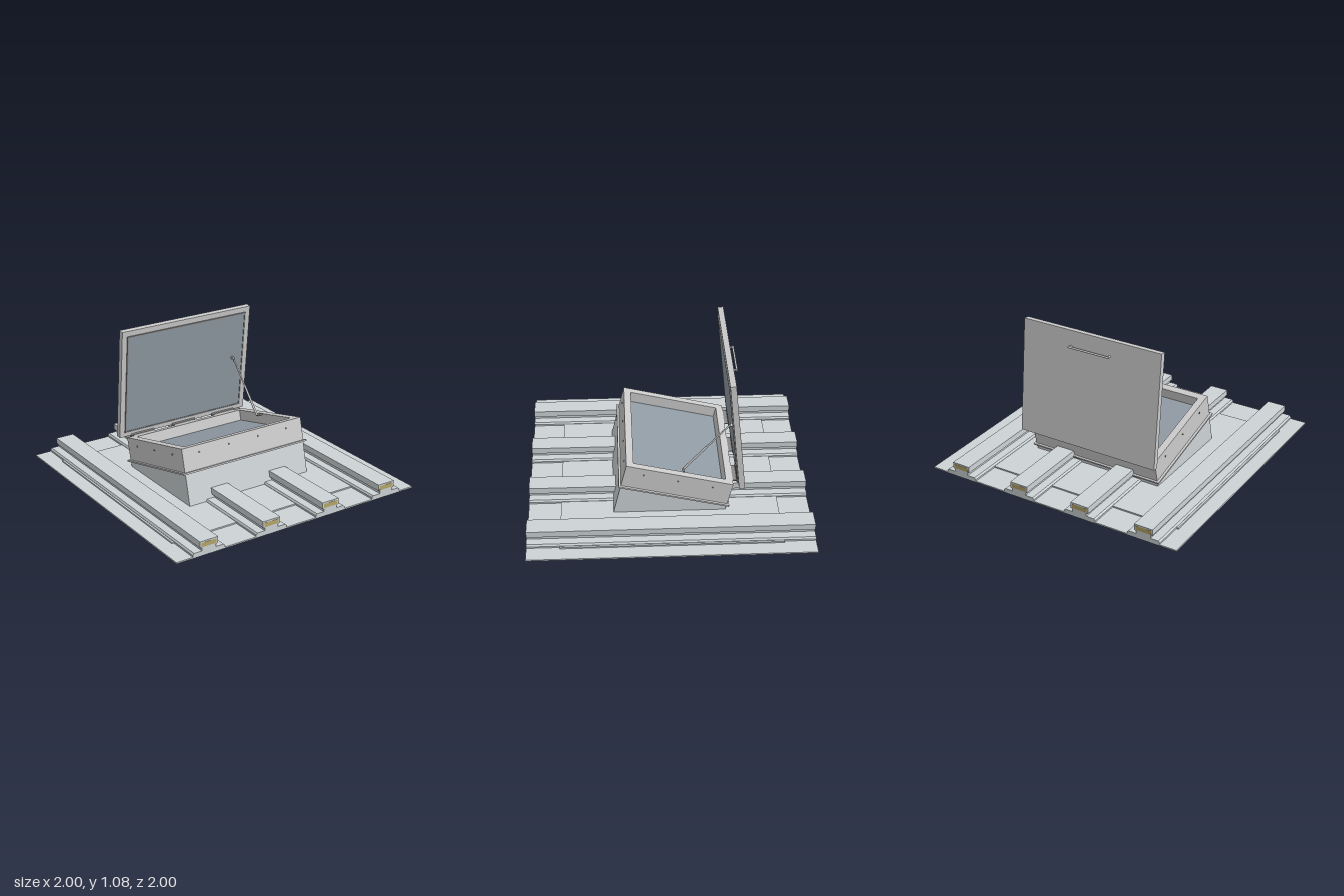
import * as THREE from 'three';

const mat = (color) => new THREE.MeshStandardMaterial({ color, flatShading: true });
const roofMat = mat(0xcdd3d6), metal = mat(0xbcbcbc), glassMat = mat(0x919ba5);
const dark = mat(0x8a8a8a), foam = mat(0xb5a668);

function add(parent, name, geo, material) {
  const m = new THREE.Mesh(geo, material);
  m.name = name;
  parent.add(m);
  return m;
}

// Box given by its limits on each axis
function box(parent, name, x0, x1, y0, y1, z0, z1, material) {
  const m = add(parent, name, new THREE.BoxGeometry(x1 - x0, y1 - y0, z1 - z0), material);
  m.position.set((x0 + x1) / 2, (y0 + y1) / 2, (z0 + z1) / 2);
  return m;
}

// Round bar between two points
function bar(parent, name, a, b, r, material) {
  const p = new THREE.Vector3(...a), q = new THREE.Vector3(...b);
  const d = q.clone().sub(p);
  const m = add(parent, name, new THREE.CylinderGeometry(r, r, d.length(), 12), material);
  m.position.copy(p).add(q).multiplyScalar(0.5);
  m.quaternion.setFromUnitVectors(new THREE.Vector3(0, 1, 0), d.normalize());
  return m;
}

// Closed polygon extruded by a length along z, from z0
function extrude(points, z0, z1) {
  const shape = new THREE.Shape(points.map((p) => new THREE.Vector2(...p)));
  const geo = new THREE.ExtrudeGeometry(shape, { depth: z1 - z0, bevelEnabled: false });
  return geo.translate(0, 0, z0);
}

function buildRoof() {
  const roof = new THREE.Group();
  roof.name = 'roof';
  box(roof, 'roofSheet', -1, 1, 0, 0.01, -1, 1, roofMat);
  box(roof, 'raisedPans', -0.89, 0.89, 0.01, 0.02, -0.78, 0.77, roofMat);

  // Stepped foot, narrow neck and wide head
  const half = [[0.125, 0.01], [0.125, 0.022], [0.115, 0.035], [0.055, 0.035], [0.055, 0.055], [0.07, 0.06], [0.07, 0.105]];
  const profile = [...half, ...half.map(([x, y]) => [-x, y]).reverse()];
  for (const x of [-0.75, -0.25, 0.25, 0.75]) {
    // The middle ribs are cut by the hatch
    const runs = Math.abs(x) < 0.5 ? [[-1, -0.35], [0.3, 1]] : [[-1, 1]];
    for (const [z0, z1] of runs) {
      add(roof, 'roofRib', extrude(profile, z0, z1), roofMat).position.x = x;
    }
    // Foam closures at both open ends
    for (const s of [-1, 1]) {
      box(roof, 'ribClosure', x - 0.058, x + 0.058, 0.062, 0.094, s - 0.001, s + 0.001, foam);
    }
  }
  return roof;
}

// Sloping curb; its origin is the upper front edge, -z runs down the slope
function buildCurb() {
  const curb = new THREE.Group();
  curb.name = 'curb';
  curb.position.set(0, 0.42, 0.3);
  curb.rotation.x = -0.242;
  const L = 0.775, W = 0.512, T = 0.052, H = 0.17;
  for (const s of [-1, 1]) {
    const inner = s * (W - T), outer = s * W;
    box(curb, 'curbSide', Math.min(inner, outer), Math.max(inner, outer), -H, 0, -L, 0, metal);
  }
  box(curb, 'curbFront', T - W, W - T, -H, 0, -T, 0, metal);
  box(curb, 'curbBack', T - W, W - T, -H, 0, -L, T - L, metal);
  box(curb, 'curbFlange', -0.53, 0.53, -0.182, -H, -L - 0.015, 0.015, metal);
  box(curb, 'innerPane', T - W, W - T, -0.09, -0.08, T - L, -T, glassMat);

  // Rivets around the four outer faces
  const rivet = (a, b) => bar(curb, 'rivet', a, b, 0.006, dark);
  for (const x of [-0.375, -0.125, 0.125, 0.375]) {
    rivet([x, -0.053, 0], [x, -0.053, 0.005]);
    rivet([x, -0.053, -L], [x, -0.053, -L - 0.005]);
  }
  for (const z of [-0.137, -0.387, -0.637]) {
    for (const s of [-1, 1]) rivet([s * W, -0.053, z], [s * (W + 0.005), -0.053, z]);
  }
  return curb;
}

// Opened lid; its origin is the lower front edge, +y runs to the free edge
function buildLid() {
  const lid = new THREE.Group();
  lid.name = 'lid';
  lid.position.set(0, 0.225, -0.49);
  lid.rotation.x = 0.1;
  box(lid, 'lidPanel', -0.553, 0.553, 0, 0.852, -0.042, 0, metal);
  box(lid, 'lidPane', -0.505, 0.505, 0.04, 0.804, 0, 0.004, glassMat);
  // Thin raised seal around the pane
  for (const s of [-1, 1]) box(lid, 'lidSeal', s * 0.508 - 0.005, s * 0.508 + 0.005, 0.035, 0.811, 0, 0.008, dark);
  for (const y of [0.035, 0.801]) box(lid, 'lidSeal', -0.508, 0.508, y, y + 0.01, 0, 0.008, dark);

  // Pull handle on the outer face
  bar(lid, 'handleBar', [-0.163, 0.737, -0.07], [0.163, 0.737, -0.07], 0.007, metal);
  for (const x of [-0.155, 0.155]) bar(lid, 'handlePost', [x, 0.737, -0.04], [x, 0.737, -0.07], 0.007, metal);
  return lid;
}

export function createModel() {
  const model = new THREE.Group();
  model.name = 'roofHatch';
  model.add(buildRoof(), buildCurb(), buildLid());

  // Solid upstand below the flange, square to the slope and ending on the roof (points are -z, y)
  const upstand = [[-0.343, 0.245], [-0.4, 0.005], [0.396, 0.005], [0.409, 0.06]];
  add(model, 'curbUpstand', extrude(upstand, -0.51, 0.51).rotateY(Math.PI / 2), roofMat);

  // Hinges joining curb and lid
  for (const x of [-0.36, 0, 0.36]) {
    bar(model, 'hingeBarrel', [x - 0.1, 0.225, -0.492], [x + 0.1, 0.225, -0.492], 0.013, dark);
    box(model, 'hingeLeaf', x - 0.09, x + 0.09, 0.222, 0.23, -0.492, -0.44, dark);
  }

  // Prop strut with a pin at each end
  const low = [0.415, 0.315, -0.105], mid = [0.415, 0.5, -0.267], high = [0.415, 0.685, -0.43];
  bar(model, 'strutTube', low, mid, 0.008, metal);
  bar(model, 'strutRod', mid, high, 0.006, metal);
  bar(model, 'strutLowerPin', low, [0.465, 0.315, -0.105], 0.007, dark);
  bar(model, 'strutUpperMount', [0.415, 0.68, -0.425], [0.415, 0.675, -0.455], 0.012, metal);
  return model;
}
